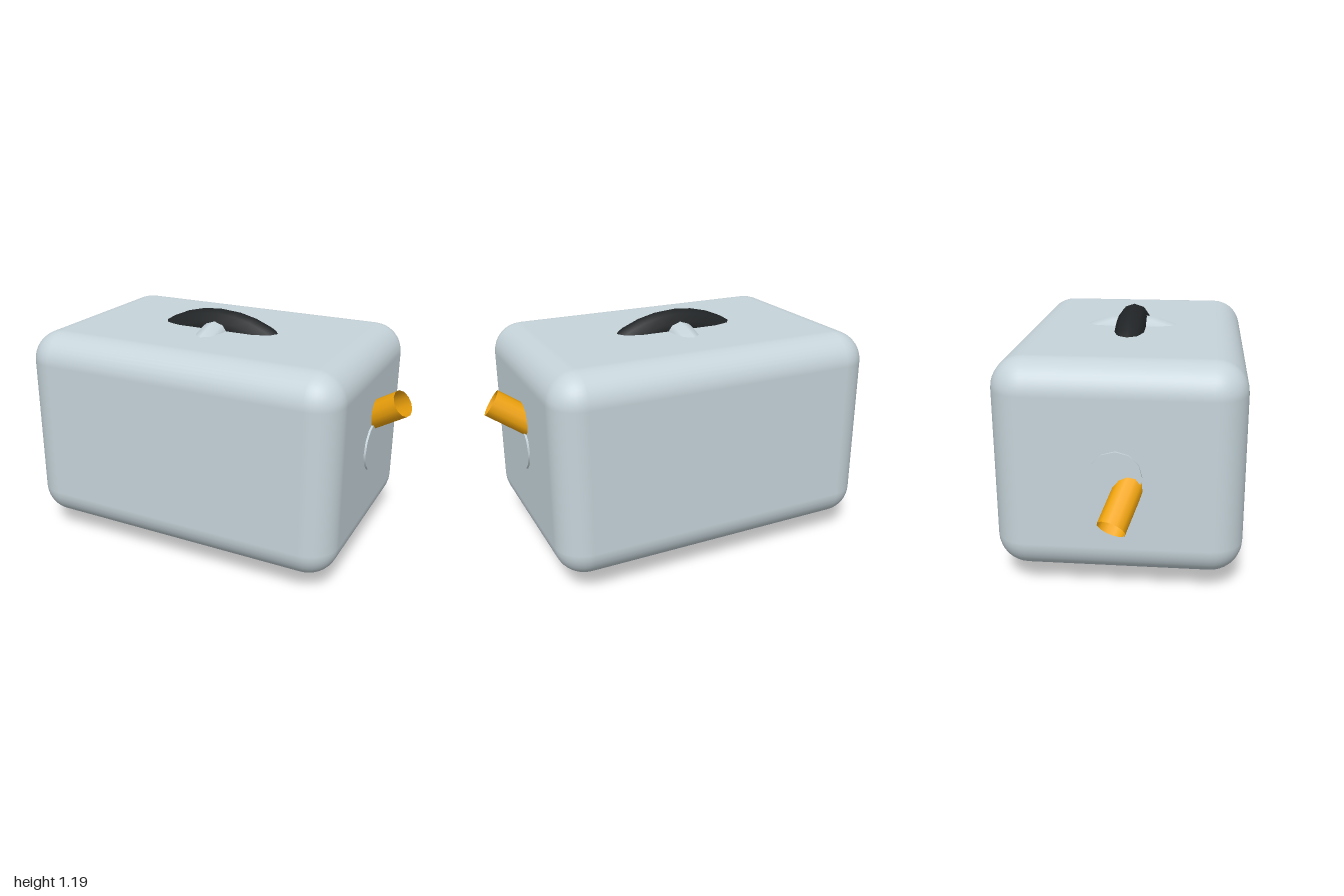
import * as THREE from 'three';
import { RoundedBoxGeometry } from 'three/addons/geometries/RoundedBoxGeometry.js';

export function createModel() {
  const group = new THREE.Group();
  const centerY = 0.595;
  const shell = new THREE.MeshStandardMaterial({ color: 0xc6d4da });
  const black = new THREE.MeshStandardMaterial({ color: 0x212426 });
  const amber = new THREE.MeshStandardMaterial({ color: 0xf2a50c, side: THREE.DoubleSide });

  function add(name, geometry, material, y = centerY) {
    const mesh = new THREE.Mesh(geometry, material);
    mesh.name = name;
    mesh.position.y = y;
    group.add(mesh);
    return mesh;
  }

  // Rounded main body
  add('body', new RoundedBoxGeometry(1.65, 1.0, 1.14, 5, 0.15), shell);

  // Crossed rings that break through the top and bottom
  add('blackRing', new THREE.TorusGeometry(0.517, 0.076, 10, 40), black);
  add('paleRing', new THREE.TorusGeometry(0.475, 0.075, 10, 32), shell).rotation.y = Math.PI / 2;

  // Axle whose thin round caps show on both sides
  add('axle', new THREE.CylinderGeometry(0.118, 0.118, 1.67, 12), shell).rotation.z = Math.PI / 2;

  // Open tubes slanting out of each side; outer end and outward direction
  function addTube(name, end, direction) {
    const length = 0.42;
    const axis = direction.normalize();
    const tube = add(name, new THREE.CylinderGeometry(0.067, 0.067, length, 12, 1, true), amber);
    tube.quaternion.setFromUnitVectors(new THREE.Vector3(0, 1, 0), axis);
    tube.position.copy(end).addScaledVector(axis, -length / 2);
  }
  addTube('leftTube', new THREE.Vector3(0.962, 0.84, 0), new THREE.Vector3(1, 0.66, 0.28));
  addTube('rightTube', new THREE.Vector3(-0.957, 0.407, -0.005), new THREE.Vector3(-1, -0.85, -0.4));

  return group;
}
